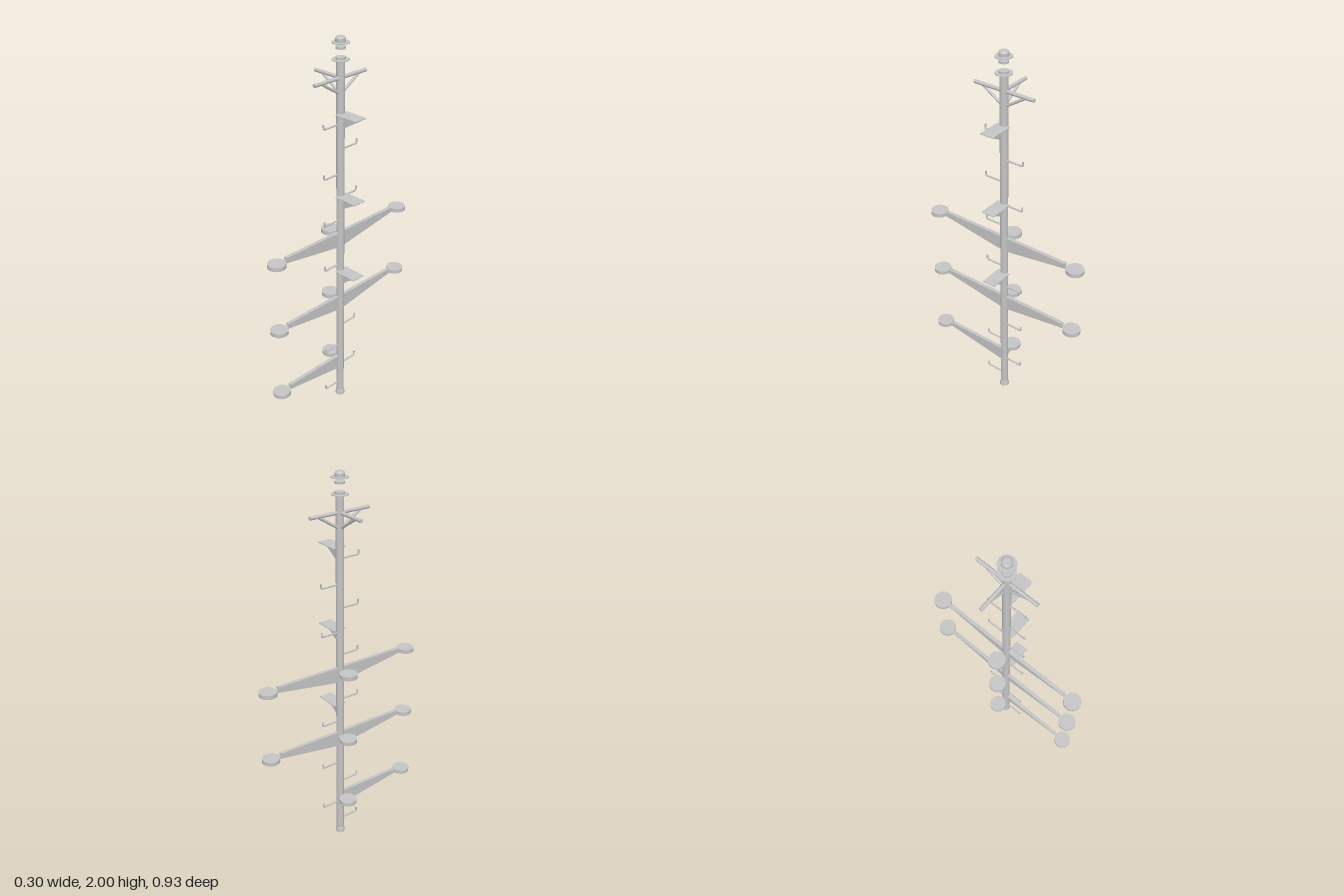
import * as THREE from 'three';

const steel = new THREE.MeshStandardMaterial({ color: 0xc4c4c4 });
steel.name = 'galvanised steel';

const PX = 0.017; // pole axis

function add(parent, geo, name, x = 0, y = 0, z = 0) {
  const m = new THREE.Mesh(geo, steel);
  m.name = name;
  m.position.set(x, y, z);
  parent.add(m);
  return m;
}

// upright disc or cylinder between two heights
function drum(parent, name, y0, y1, r0, r1 = r0, x = 0, z = 0, seg = 24) {
  return add(parent, new THREE.CylinderGeometry(r1, r0, y1 - y0, seg), name, x, (y0 + y1) / 2, z);
}

// round bar between two points
function bar(parent, name, a, b, r) {
  const va = new THREE.Vector3(...a), vb = new THREE.Vector3(...b);
  const m = add(parent, new THREE.CylinderGeometry(r, r, va.distanceTo(vb), 12), name);
  m.position.copy(va).add(vb).multiplyScalar(0.5);
  m.quaternion.setFromUnitVectors(new THREE.Vector3(0, 1, 0), vb.sub(va).normalize());
  return m;
}

// thin vertical plate in the xy plane
function gusset(parent, name, pts, t) {
  const shape = new THREE.Shape(pts.map(p => new THREE.Vector2(...p)));
  const g = new THREE.ExtrudeGeometry(shape, { depth: t, bevelEnabled: false });
  g.translate(0, 0, -t / 2);
  return add(parent, g, name);
}

// group that points its local +x in a given direction around the pole
function branch(parent, name, y, angle) {
  const g = new THREE.Group();
  g.name = name;
  g.position.y = y;
  g.rotation.y = angle;
  parent.add(g);
  return g;
}

const FRONT = -Math.PI / 2, BACK = Math.PI / 2, RIGHT = Math.PI, LEFT = 0;

export function createModel() {
  const model = new THREE.Group();
  model.name = 'polePlatformTower';
  const tower = new THREE.Group();
  tower.name = 'tower';
  tower.position.x = PX;
  model.add(tower);

  // pole with flared foot
  drum(tower, 'pole', 0.02, 1.9, 0.02);
  drum(tower, 'foot', 0, 0.02, 0.025, 0.023);
  drum(tower, 'footCollar', 0.02, 0.03, 0.023, 0.02);

  // pole head and separate finial pieces
  drum(tower, 'headFlange', 1.893, 1.897, 0.041);
  drum(tower, 'headCap', 1.897, 1.908, 0.023);
  drum(tower, 'spacerRing', 1.944, 1.955, 0.023);
  drum(tower, 'finialFlange', 1.971, 1.975, 0.041);
  drum(tower, 'finialCap', 1.975, 1.992, 0.024);
  drum(tower, 'finialTop', 1.992, 2.0, 0.024, 0.018);

  // long arms carrying round platforms
  function arm(y, angle) {
    const g = branch(tower, 'platformArm', y, angle);
    add(g, new THREE.BoxGeometry(0.365, 0.012, 0.019), 'armRail', 0.1825, 0.013, 0);
    add(g, new THREE.BoxGeometry(0.38, 0.006, 0.014), 'armTongue', 0.19, 0.004, 0);
    gusset(g, 'armWeb', [[0, -0.065], [0.03, -0.065], [0.385, -0.01], [0.385, 0.008], [0, 0.008]], 0.006);
    drum(g, 'platform', -0.01, 0.011, 0.045, 0.045, 0.42, 0, 32);
  }
  // small platforms beside the pole
  function sidePlatform(y) {
    const g = branch(tower, 'sidePlatform', y, RIGHT);
    drum(g, 'platform', -0.01, 0.011, 0.045, 0.045, 0.073, 0, 32);
    gusset(g, 'platformWeb', [[0, -0.048], [0.03, -0.045], [0.085, -0.009], [0, -0.009]], 0.006);
  }
  for (const y of [0.245, 0.625, 1.001]) {
    arm(y, FRONT);
    if (y > 0.5) arm(y, BACK);
    sidePlatform(y);
  }

  // rectangular shelves
  for (const y of [0.8, 1.22, 1.64]) {
    const g = branch(tower, 'shelf', y, LEFT);
    add(g, new THREE.BoxGeometry(0.127, 0.004, 0.072), 'shelfPlate', 0.0665, 0, 0);
    gusset(g, 'shelfWeb', [[0.015, -0.066], [0.035, -0.061], [0.127, -0.006], [0.127, 0], [0.015, 0]], 0.005);
  }

  // climbing pegs with upturned ends
  function peg(y, angle) {
    const g = branch(tower, 'peg', y, angle);
    const path = new THREE.CurvePath();
    const v = (a, b) => new THREE.Vector3(a, b, 0);
    path.add(new THREE.LineCurve3(v(0.01, 0), v(0.1, 0)));
    path.add(new THREE.QuadraticBezierCurve3(v(0.1, 0), v(0.108, 0), v(0.108, 0.008)));
    path.add(new THREE.LineCurve3(v(0.108, 0.008), v(0.108, 0.024)));
    add(g, new THREE.TubeGeometry(path, 32, 0.0045, 8), 'pegRod');
    const cap = add(g, new THREE.CircleGeometry(0.0045, 8), 'pegEnd', 0.108, 0.024, 0);
    cap.rotation.x = -Math.PI / 2;
  }
  for (const y of [0.083, 0.33, 0.833, 1.085, 1.335, 1.588]) peg(y, FRONT);
  for (const y of [0.2, 0.453, 0.707, 1.21, 1.46]) peg(y, BACK);

  // top cross bars with diagonal struts
  for (const angle of [FRONT, BACK, RIGHT]) {
    const g = branch(tower, 'topBracket', 1.81, angle);
    bar(g, 'crossBar', [0, 0, 0], [0.165, 0, 0], 0.009);
    bar(g, 'strut', [0.01, -0.072, 0], [0.12, -0.002, 0], 0.007);
  }
  return model;
}
